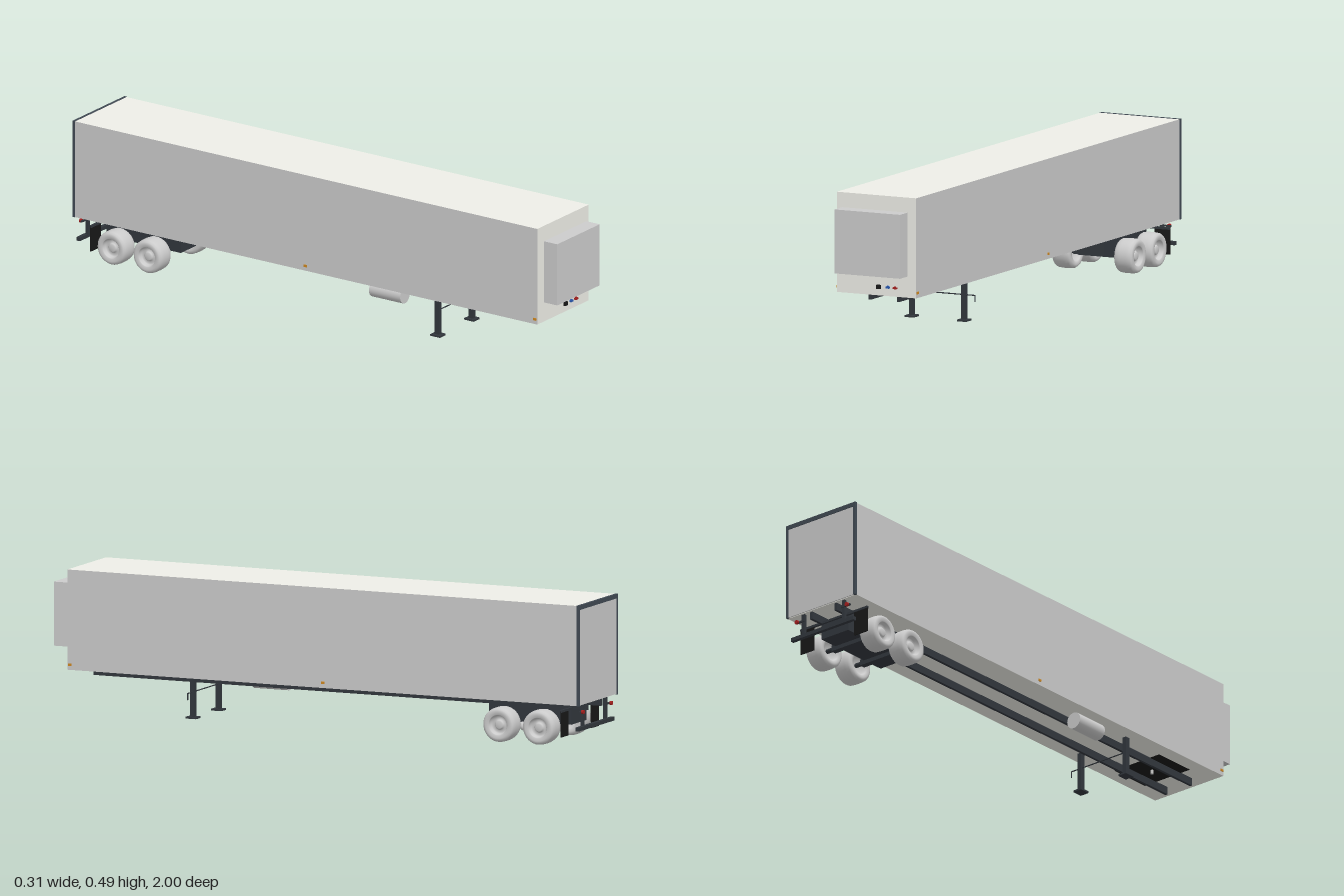
import * as THREE from 'three';

const mat = (color) => new THREE.MeshStandardMaterial({ color });

export function createModel() {
  const model = new THREE.Group();
  const grey = mat(0xcccccc), shell = mat(0xeeeee7), steel = mat(0x32373d);
  const trim = mat(0x414a54), black = mat(0x181818), red = mat(0xa82020);
  const blue = mat(0x2858b0), amber = mat(0xd08820);

  const add = (name, geo, m, x = 0, y = 0, z = 0, parent = model) => {
    const mesh = new THREE.Mesh(geo, m);
    mesh.name = name;
    mesh.position.set(x, y, z);
    parent.add(mesh);
    return mesh;
  };
  // Box given by its limits on each axis
  const box = (name, m, x0, x1, y0, y1, z0, z1, parent) =>
    add(name, new THREE.BoxGeometry(x1 - x0, y1 - y0, z1 - z0), m,
      (x0 + x1) / 2, (y0 + y1) / 2, (z0 + z1) / 2, parent);
  const rod = (name, m, r, len, axis, x, y, z, parent, sides = 12) => {
    const geo = new THREE.CylinderGeometry(r, r, len, sides);
    if (axis === 'x') geo.rotateZ(Math.PI / 2);
    if (axis === 'z') geo.rotateX(Math.PI / 2);
    return add(name, geo, m, x, y, z, parent);
  };

  // Cargo body: light shell with grey side skins
  box('cargoBody', [grey, grey, shell, shell, shell, shell],
    -0.153, 0.153, 0.145, 0.491, -0.993, 0.935);

  // Rear door and its frame
  box('rearDoor', grey, -0.147, 0.147, 0.147, 0.478, -0.997, -0.99);
  for (const s of [-1, 1])
    add('doorFrameSide', new THREE.BoxGeometry(0.009, 0.347, 0.01), trim, s * 0.1505, 0.3185, -0.995);
  box('doorFrameTop', trim, -0.155, 0.155, 0.477, 0.492, -1, -0.99);

  // Cooling unit on the nose
  box('coolingUnit', grey, -0.127, 0.125, 0.22, 0.441, 0.945, 1);
  box('coolingUnitMount', grey, -0.1, 0.1, 0.25, 0.41, 0.934, 0.946);

  // Service connectors
  box('electricSocket', black, 0.003, 0.017, 0.168, 0.182, 0.93, 0.943);
  [[0.045, blue], [0.073, red]].forEach(([x, m]) => {
    box('airCoupling', m, x - 0.007, x + 0.007, 0.172, 0.178, 0.93, 0.943);
    box('airCouplingCap', m, x - 0.003, x + 0.003, 0.177, 0.181, 0.93, 0.941);
  });

  // Chassis rails, coupling plate and kingpin
  for (const s of [-1, 1])
    add('chassisRail', new THREE.BoxGeometry(0.01, 0.027, 1.865), steel, s * 0.055, 0.1315, -0.0525);
  box('couplingPlate', black, -0.1, 0.1, 0.1435, 0.1455, 0.66, 0.82);
  rod('kingpin', grey, 0.0055, 0.016, 'y', 0, 0.138, 0.74);

  // Landing gear with cross shaft and crank
  const gear = new THREE.Group();
  gear.name = 'landingGear';
  model.add(gear);
  for (const s of [-1, 1]) {
    const x = s * 0.101;
    box('landingLeg', steel, x - 0.007, x + 0.007, 0.004, 0.145, 0.476, 0.494, gear);
    box('landingFoot', steel, x - 0.0175, x + 0.0175, 0, 0.006, 0.465, 0.505, gear);
  }
  rod('crossShaft', steel, 0.002, 0.243, 'x', 0.0215, 0.091, 0.485, gear);
  rod('crankHandle', steel, 0.002, 0.024, 'y', 0.143, 0.08, 0.485, gear);

  // Air tank on the right
  rod('airTank', grey, 0.029, 0.13, 'z', -0.097, 0.116, 0.28, model, 32);

  // Bogie
  const bogie = new THREE.Group();
  bogie.name = 'bogie';
  model.add(bogie);
  box('bogieFrame', steel, -0.06, 0.06, 0.064, 0.12, -0.925, -0.615, bogie);

  // Wheel profile: radius against width, outer side at positive width
  const profile = [[0, -0.014], [0.03, -0.014], [0.034, -0.033], [0.046, -0.0355], [0.054, -0.033],
    [0.0585, -0.026], [0.06, -0.012], [0.06, 0.012], [0.0585, 0.026], [0.054, 0.033], [0.046, 0.0355],
    [0.036, 0.033], [0.034, 0.031], [0.031, 0.018], [0.02, 0.014], [0.016, 0.022], [0.012, 0.026], [0, 0.026]];
  const wheelGeo = new THREE.LatheGeometry(profile.map(([r, w]) => new THREE.Vector2(r, w)), 36);
  wheelGeo.rotateZ(-Math.PI / 2);
  for (const z of [-0.692, -0.842]) {
    box('axle', steel, -0.078, 0.078, 0.05, 0.072, z - 0.011, z + 0.011, bogie);
    rod('axleStub', steel, 0.008, 0.22, 'x', 0, 0.061, z, bogie);
    for (const s of [-1, 1]) {
      const wheel = add('wheel', wheelGeo, grey, s * 0.12, 0.06, z, bogie);
      if (s < 0) wheel.rotation.y = Math.PI;
    }
  }

  // Mud flaps on a carrier bar
  box('flapCarrier', steel, -0.15, 0.15, 0.118, 0.126, -0.932, -0.924);
  for (const s of [-1, 1])
    add('mudFlap', new THREE.BoxGeometry(0.06, 0.09, 0.003), black, s * 0.12, 0.077, -0.928);

  // Rear bumper, posts and tail lights
  box('rearBumper', steel, -0.14, 0.14, 0.056, 0.069, -0.993, -0.979);
  for (const s of [-1, 1]) {
    add('bumperPost', new THREE.BoxGeometry(0.012, 0.085, 0.01), steel, s * 0.09, 0.1045, -0.982);
    add('lightBracket', new THREE.BoxGeometry(0.04, 0.006, 0.006), steel, s * 0.102, 0.12, -0.987);
    rod('tailLight', red, 0.007, 0.008, 'z', s * 0.112, 0.12, -0.994);
    // Amber side markers
    for (const z of [0.926, -0.03])
      add('sideMarker', new THREE.BoxGeometry(0.004, 0.008, 0.012), amber, s * 0.154, 0.163, z);
  }
  return model;
}
